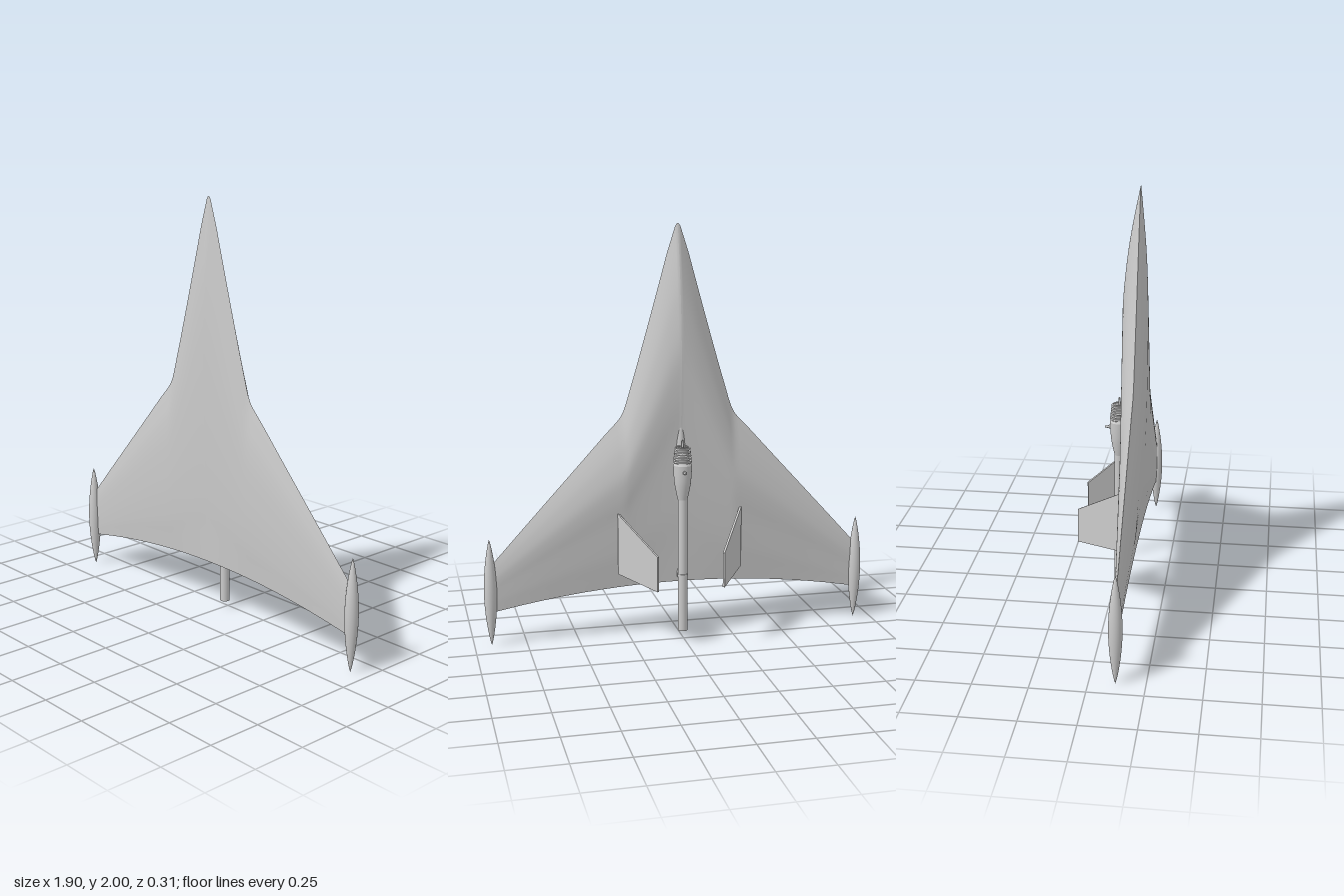
import * as THREE from 'three';

const V2 = (x, y) => new THREE.Vector2(x, y);
const grey = new THREE.MeshStandardMaterial({ color: 0xcccccc, side: THREE.DoubleSide });
const WING_Z = 0.117, ENGINE_Z = 0.021, CHORD_STEPS = 36;

// Leading edge: span position, height
const leadingEdge = [
  [0, 2], [0.006, 1.997], [0.013, 1.985], [0.053, 1.86], [0.09, 1.725], [0.122, 1.61], [0.16, 1.475],
  [0.2, 1.335], [0.23, 1.235], [0.252, 1.16], [0.265, 1.122], [0.28, 1.092], [0.3, 1.067],
  [0.36, 1.005], [0.46, 0.895], [0.56, 0.786], [0.66, 0.677], [0.76, 0.568], [0.86, 0.458], [0.91, 0.403],
];
const trailingEdge = x => 0.26 - 0.09 * (x / 0.9) ** 2;

// Chordwise thickness of the two faces: chord fraction, relative height
const backProfile = new THREE.SplineCurve([
  V2(0, 0), V2(0.1, 0.43), V2(0.2, 0.76), V2(0.33, 1), V2(0.45, 0.95), V2(0.57, 0.76),
  V2(0.7, 0.58), V2(0.8, 0.43), V2(0.9, 0.23), V2(1, 0.03)]);
const frontProfile = new THREE.SplineCurve([
  V2(0, 0), V2(0.1, 0.45), V2(0.2, 0.8), V2(0.33, 1), V2(0.5, 1), V2(0.65, 0.88),
  V2(0.8, 0.62), V2(0.9, 0.33), V2(1, 0.03)]);

// Greatest thickness at a span position
const backDepth = x => (x < 0.3 ? 0.081 - 0.08 * x : 0.057 - 0.082 * (x - 0.3));
const frontDepth = x => 0.037 - 0.036 * x;

function wingSkin(side, facing) {
  const profile = facing < 0 ? backProfile : frontProfile;
  const depth = facing < 0 ? backDepth : frontDepth;
  const pos = [], index = [], row = CHORD_STEPS + 1;
  leadingEdge.forEach(([x, top], i) => {
    for (let j = 0; j <= CHORD_STEPS; j++) {
      const p = profile.getPoint(j / CHORD_STEPS);
      const y = top + (trailingEdge(x) - top) * p.x;
      pos.push(side * x, y, WING_Z + facing * depth(x) * p.y);
      if (i && j) {
        const a = (i - 1) * row + j - 1, b = a + 1, c = a + row, d = c + 1;
        if (side * facing > 0) index.push(a, b, c, b, d, c);
        else index.push(a, c, b, b, c, d);
      }
    }
  });
  const g = new THREE.BufferGeometry();
  g.setAttribute('position', new THREE.Float32BufferAttribute(pos, 3));
  g.setIndex(index);
  g.computeVertexNormals();
  return g;
}

function add(parent, name, geometry, x = 0, y = 0, z = 0) {
  const m = new THREE.Mesh(geometry, grey);
  m.name = name;
  m.position.set(x, y, z);
  parent.add(m);
  return m;
}

// Pointed body of revolution standing along y
function spindle(length, radius, power = 0.8) {
  const pts = [];
  for (let i = 0; i <= 24; i++) {
    const t = i / 24;
    pts.push(V2(radius * Math.max(0, Math.sin(Math.PI * t)) ** power, t * length));
  }
  return new THREE.LatheGeometry(pts, 24);
}

function createEngine() {
  const engine = new THREE.Group();
  engine.name = 'engine';
  engine.position.z = ENGINE_Z;

  // Open tailpipe
  add(engine, 'tailpipe', new THREE.LatheGeometry([
    V2(0.019, 0.3), V2(0.019, 0.04), V2(0.023, 0.04), V2(0.023, 0.7)], 24));
  add(engine, 'pipeClamp', new THREE.CylinderGeometry(0.026, 0.026, 0.014, 24), 0, 0.32);

  // Combustion chamber
  const chamber = new THREE.SplineCurve([
    V2(0.023, 0.695), V2(0.031, 0.73), V2(0.039, 0.775), V2(0.043, 0.82), V2(0.045, 0.865)]).getPoints(16);
  add(engine, 'combustionChamber', new THREE.LatheGeometry(chamber, 32));
  add(engine, 'chamberTop', new THREE.CylinderGeometry(0.04, 0.045, 0.01, 32), 0, 0.87);

  // Finned intake head
  add(engine, 'intakeCore', new THREE.CylinderGeometry(0.028, 0.037, 0.08, 24), 0, 0.905);
  for (let i = 0; i < 5; i++) {
    const r = 0.045 - i * 0.0018;
    add(engine, 'coolingRib', new THREE.CylinderGeometry(r - 0.001, r, 0.008, 32), 0, 0.883 + i * 0.0155);
  }
  add(engine, 'intakeLip', new THREE.TorusGeometry(0.026, 0.004, 8, 24), 0, 0.952).rotation.x = Math.PI / 2;
  add(engine, 'fuelNozzle', new THREE.CylinderGeometry(0.004, 0.007, 0.05, 12), 0, 0.96);

  // Igniter on the outer side
  add(engine, 'igniter', new THREE.CylinderGeometry(0.005, 0.008, 0.03, 12), 0, 0.835, -0.053).rotation.x = -Math.PI / 2;
  add(engine, 'igniterNut', new THREE.CylinderGeometry(0.01, 0.01, 0.008, 6), 0, 0.835, -0.046).rotation.x = -Math.PI / 2;
  return engine;
}

// Tapered fin leaning inwards
function createFin(side) {
  const outline = new THREE.Shape([V2(0, 0.33), V2(0.27, 0.3), V2(0.27, 0.47), V2(0, 0.63)]);
  const g = new THREE.ExtrudeGeometry(outline, { depth: 0.01, bevelEnabled: false });
  g.translate(0, 0, -0.005);
  const fin = new THREE.Mesh(g, grey);
  fin.name = side > 0 ? 'leftFin' : 'rightFin';
  fin.position.set(side * 0.303, 0, 0.073);
  fin.rotation.y = Math.atan2(0.226, -side * 0.143);
  return fin;
}

export function createModel() {
  const model = new THREE.Group();
  model.name = 'deltaJet';

  for (const side of [1, -1]) {
    const label = side > 0 ? 'left' : 'right';
    add(model, label + 'WingBelly', wingSkin(side, 1));
    add(model, label + 'WingBack', wingSkin(side, -1));
    add(model, label + 'TipPod', spindle(0.525, 0.031), side * 0.918, 0.005, WING_Z);
    model.add(createFin(side));
  }

  model.add(createEngine());

  // Mounts joining the engine to the wing
  add(model, 'frontFairing', spindle(0.45, 0.024), 0, 0.66, 0.066);
  add(model, 'frontMount', new THREE.BoxGeometry(0.014, 0.05, 0.05), 0, 0.675, 0.06);
  add(model, 'rearMount', new THREE.BoxGeometry(0.012, 0.04, 0.075), 0, 0.305, 0.08);
  return model;
}
